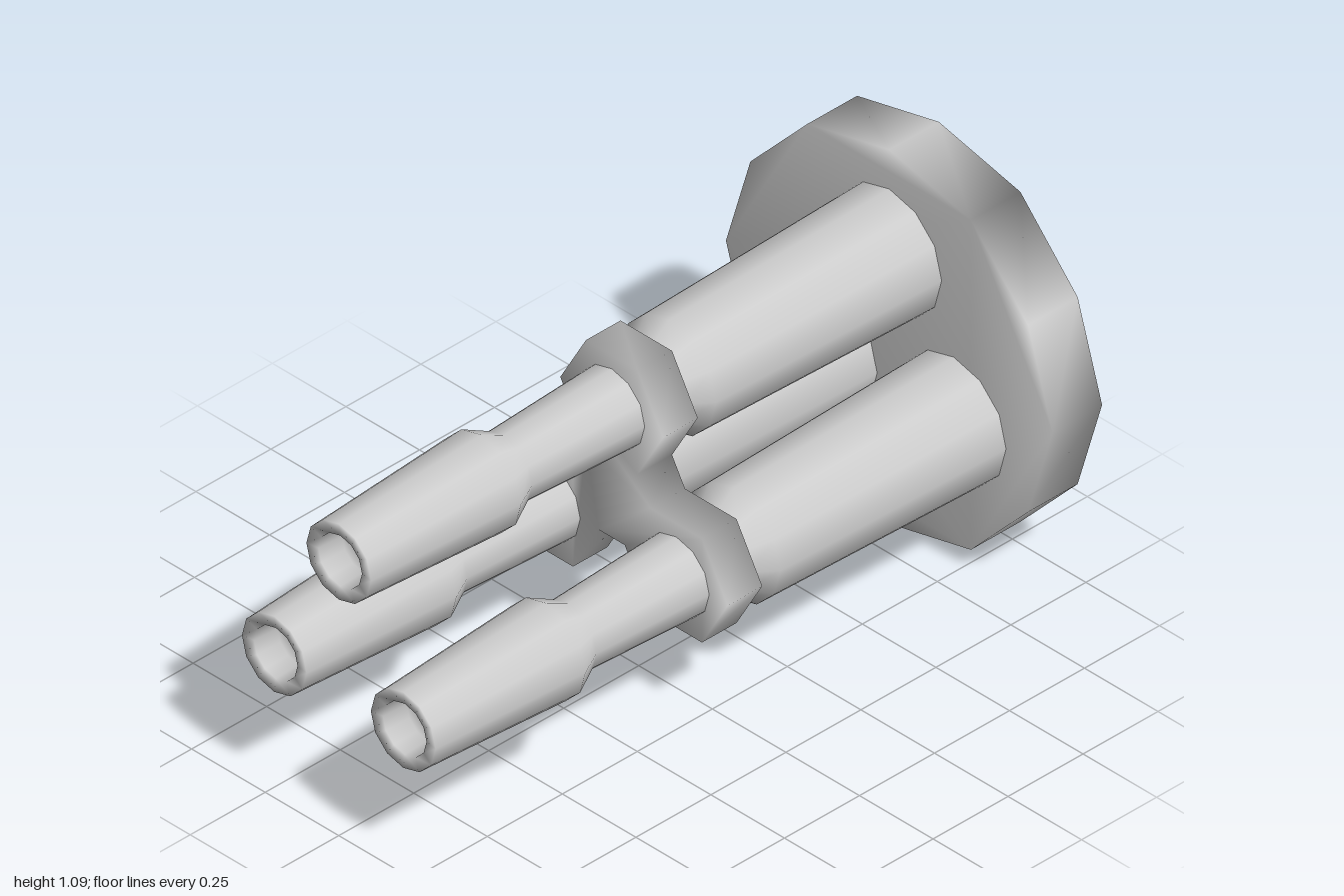
import * as THREE from 'three';
import { mergeVertices } from 'three/addons/utils/BufferGeometryUtils.js';

const CENTER_Y = 0.548;
const POD_RADIUS = 0.253; // distance of each pod from the central axis
const NUT_RADIUS = 0.175;

// Weld all corners so the shading rolls softly over the edges
function soften(geometry) {
  geometry.deleteAttribute('uv');
  geometry.deleteAttribute('normal');
  const welded = mergeVertices(geometry, 1e-4);
  welded.computeVertexNormals();
  return welded;
}

// Flat plate with the given outline between two depths
function plate(points, zBack, zFront) {
  const geometry = new THREE.ExtrudeGeometry(new THREE.Shape(points), {
    depth: zFront - zBack, bevelEnabled: false,
  });
  geometry.translate(0, 0, zBack);
  return soften(geometry);
}

const polar = (radius, degrees) => {
  const a = THREE.MathUtils.degToRad(degrees);
  return new THREE.Vector2(radius * Math.cos(a), radius * Math.sin(a));
};

export function createModel() {
  const model = new THREE.Group();
  const material = new THREE.MeshStandardMaterial({ color: 0xcccccc });
  const add = (name, geometry, x = 0, y = CENTER_Y) => {
    const mesh = new THREE.Mesh(geometry, material);
    mesh.name = name;
    mesh.position.set(x, y, 0);
    model.add(mesh);
  };

  // Twelve-sided base disc
  const rim = [];
  for (let i = 0; i < 12; i++) rim.push(polar(i % 2 ? 0.545 : 0.555, i * 30));
  add('baseDisc', plate(rim, -1, -0.835));

  // Clamp: three hexagonal collars joined by a central web, as one outline
  const outline = [];
  for (const angle of [90, 210, 330]) {
    const center = polar(POD_RADIUS, angle);
    for (let k = -5; k <= 5; k += 2) {
      outline.push(polar(NUT_RADIUS, angle + k * 30).add(center));
    }
  }
  add('clampPlate', plate(outline, -0.025, 0.09));

  // Barrel profile: [radius, z] from the thick rear sleeve to the hollow muzzle
  const profile = [
    [0.178, -0.84], [0.16, -0.1], [0.115, -0.045], [0.112, 0.09],
    [0.097, 0.45], [0.135, 0.525], [0.11, 1],
    [0.074, 0.995], [0.07, 0.92], [0, 0.92],
  ].map(([r, z]) => new THREE.Vector2(r, z));
  const barrel = new THREE.LatheGeometry(profile, 12);
  barrel.rotateX(Math.PI / 2);

  const names = { 90: 'topBarrel', 210: 'rightBarrel', 330: 'leftBarrel' };
  for (const angle of [90, 210, 330]) {
    const p = polar(POD_RADIUS, angle);
    add(names[angle], barrel, p.x, CENTER_Y + p.y);
  }
  return model;
}
